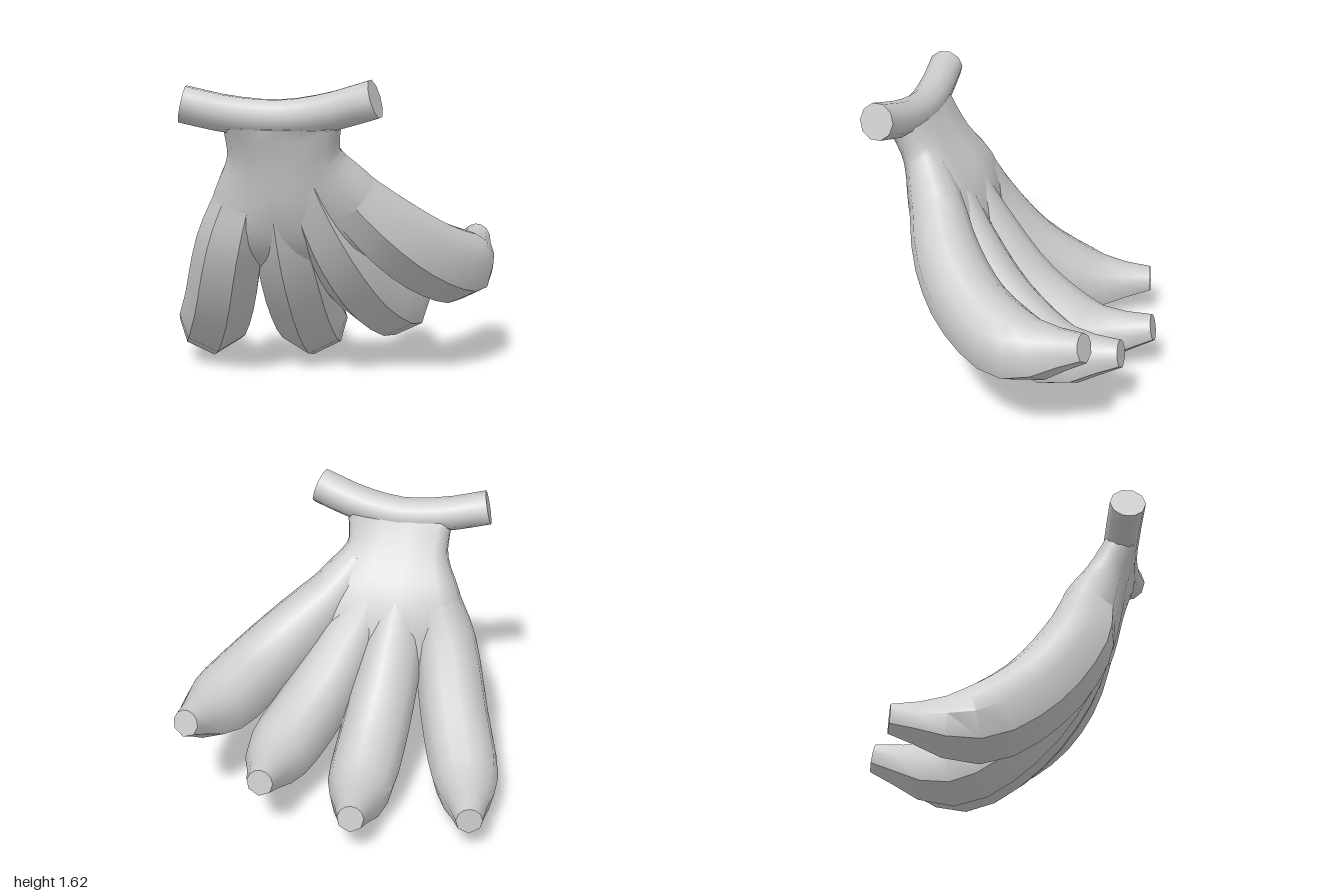
import * as THREE from 'three';
import { toCreasedNormals } from 'three/addons/utils/BufferGeometryUtils.js';

const material = new THREE.MeshStandardMaterial({ color: 0xcccccc });
const UP = new THREE.Vector3(0, 1, 0);
const vec = (p) => new THREE.Vector3(...p);

// Skin a list of rings (counter-clockwise around the path) and cap both ends.
function loft(name, rings, crease) {
  const n = rings[0].length;
  const last = rings.length - 1;
  const positions = rings.flat().flatMap((p) => p.toArray());
  const index = [];
  for (let i = 0; i < last; i++) {
    for (let j = 0; j < n; j++) {
      const k = (j + 1) % n;
      const a = i * n + j, b = i * n + k, c = a + n, d = b + n;
      index.push(a, b, d, a, d, c);
    }
  }
  for (let j = 1; j < n - 1; j++) {
    index.push(0, j + 1, j, last * n, last * n + j, last * n + j + 1);
  }
  const geometry = new THREE.BufferGeometry();
  geometry.setAttribute('position', new THREE.Float32BufferAttribute(positions, 3));
  geometry.setIndex(index);
  const mesh = new THREE.Mesh(toCreasedNormals(geometry, crease), material);
  mesh.name = name;
  return mesh;
}

// Returns a function giving the ring at t (0..1) of a path, for a list of angles.
function sectionMaker(points, radii, side, flat) {
  const curve = new THREE.CatmullRomCurve3(points.map(vec));
  const radiusCurve = new THREE.SplineCurve(radii.map((r, i) => new THREE.Vector2(i, r)));
  return (t, angles, scale = 1) => {
    const tangent = curve.getTangent(t);
    const e1 = side.clone().addScaledVector(tangent, -side.dot(tangent)).normalize();
    const e2 = tangent.clone().cross(e1);
    const r = radiusCurve.getPoint(t).y * scale;
    return angles.map((deg) => {
      const a = THREE.MathUtils.degToRad(deg);
      return curve.getPoint(t)
        .addScaledVector(e1, Math.cos(a) * r)
        .addScaledVector(e2, Math.sin(a) * r * flat);
    });
  };
}

// Sweep a section along its path from t = start to the end.
const sweep = (name, section, angles, start, steps, crease) => loft(name,
  Array.from({ length: steps + 1 }, (_, i) =>
    section(start + (1 - start) * i / steps, angles)), crease);

// Fruit section: ridged underside, rounded top
const rightAngles = [-90, -36, 5, 36, 64, 90];
const leftAngles = [90, 116, 144, 175, 216, 270];
const fruitAngles = [...rightAngles, ...leftAngles.slice(1, -1)];
const fruitRadii = [0.08, 0.1, 0.142, 0.182, 0.196, 0.185, 0.073];
const fruitPaths = [
  [[-0.71, 1.4, 0.28], [-0.625, 1.21, 0.23], [-0.595, 1.01, 0.14], [-0.6, 0.75, 0.03], [-0.51, 0.42, -0.2], [-0.37, 0.2, -0.51], [-0.15, 0.22, -0.84]],
  [[-0.61, 1.4, 0.37], [-0.54, 1.21, 0.32], [-0.46, 1.0, 0.26], [-0.33, 0.7, 0.17], [-0.11, 0.37, 0.0], [0.14, 0.185, -0.22], [0.4, 0.26, -0.52]],
  [[-0.51, 1.4, 0.47], [-0.45, 1.21, 0.42], [-0.35, 1.0, 0.39], [-0.16, 0.73, 0.36], [0.12, 0.47, 0.28], [0.45, 0.32, 0.14], [0.72, 0.38, -0.12]],
  [[-0.41, 1.4, 0.59], [-0.37, 1.22, 0.51], [-0.22, 1.03, 0.51], [0.04, 0.8, 0.56], [0.34, 0.63, 0.55], [0.65, 0.55, 0.45], [0.96, 0.65, 0.24]],
];

// Crown rings: [position along the fruit paths, thickness relative to the fruit]
const crownSteps = [[0, 1.05], [0.35, 1.05], [0.7, 1.05], [1, 1.05], [1.35, 1.05], [1.7, 1.05],
  [2, 1.03], [2.25, 0.98], [2.5, 0.9], [2.75, 0.78], [3, 0.62], [3.3, 0.35]];

export function createModel() {
  const group = new THREE.Group();
  group.name = 'fruitBunch';

  // Cut stalk
  const across = new THREE.Vector3(0.72, 0, -0.69).normalize();
  const stalk = sectionMaker(
    [[-0.93, 1.485, 0.105], [-0.75, 1.435, 0.25], [-0.56, 1.415, 0.42], [-0.4, 1.45, 0.61], [-0.26, 1.52, 0.805]],
    [0.096, 0.096, 0.097, 0.099, 0.1], across, 1);
  const stalkAngles = Array.from({ length: 10 }, (_, i) => i * 36);
  group.add(sweep('stalk', stalk, stalkAngles, 0, 10, 0.9));

  // Four curved fruits fanned out from the crown
  const fruits = fruitPaths.map((path) => {
    const heading = vec(path[6]).sub(vec(path[1])).setY(0).normalize();
    return sectionMaker(path, fruitRadii, UP.clone().cross(heading), 1.06);
  });
  fruits.forEach((section, i) =>
    group.add(sweep(`fruit${i + 1}`, section, fruitAngles, 0.22, 14, 0.65)));

  // Crown: a web wrapped around the fruit necks, thinning out between them
  const [first, second, third, fourth] = fruits;
  group.add(loft('crown', crownSteps.map(([step, scale]) => {
    const t = step / 6;
    return [
      ...first(t, rightAngles, scale),
      ...second(t, [90], scale), ...third(t, [90], scale),
      ...fourth(t, leftAngles, scale),
      ...third(t, [270], scale), ...second(t, [270], scale),
    ];
  }), 1.2));

  return group;
}
